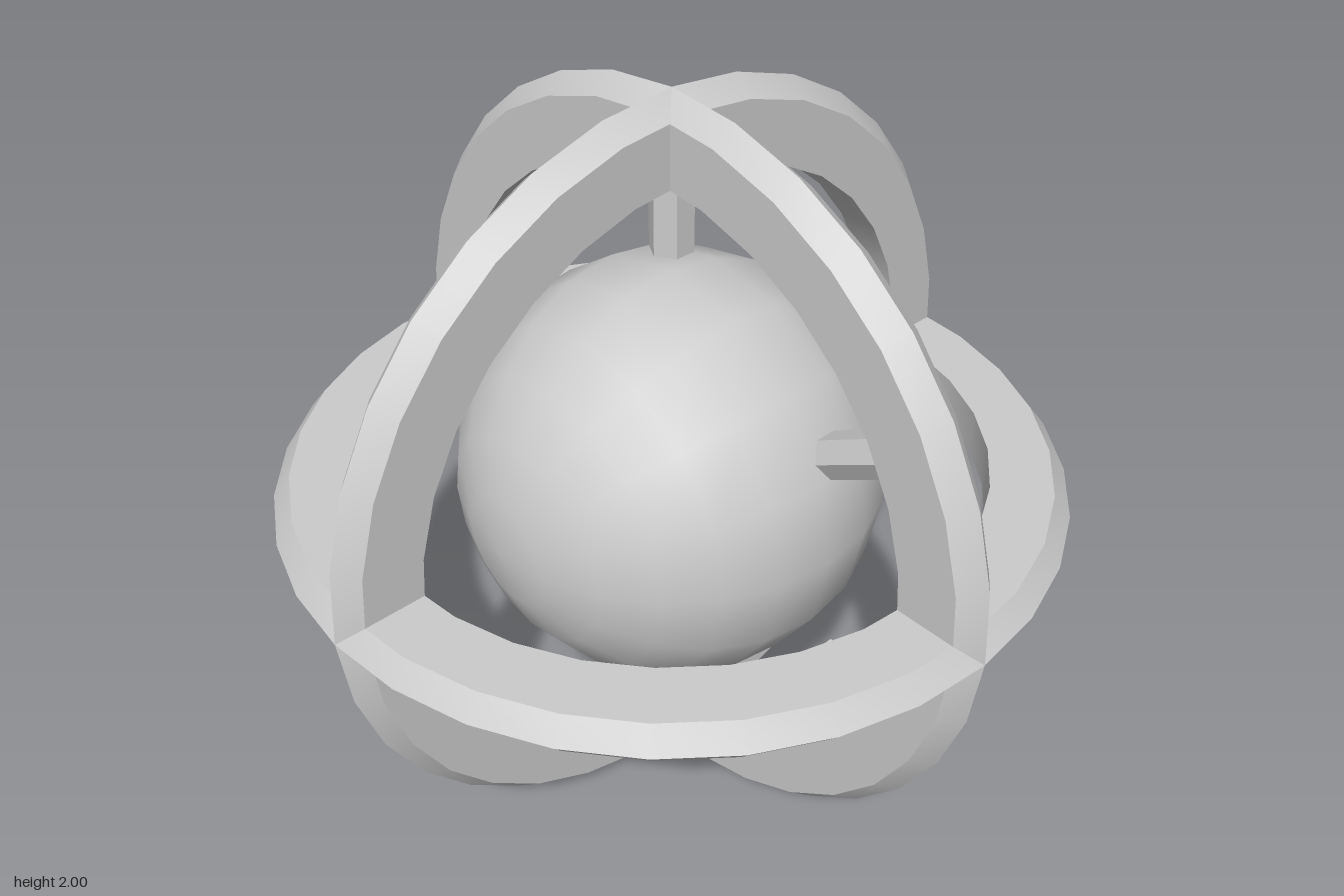
import * as THREE from 'three';
import { toCreasedNormals } from 'three/addons/utils/BufferGeometryUtils.js';

export function createModel() {
  const model = new THREE.Group();
  model.name = 'ringedSphere';
  const grey = new THREE.MeshStandardMaterial({ color: 0xcccccc });
  grey.name = 'light grey';

  const add = (name, geometry) => {
    const mesh = new THREE.Mesh(geometry, grey);
    mesh.name = name;
    mesh.position.y = 1;
    model.add(mesh);
    return mesh;
  };

  // Core ball, poles along z
  add('core', new THREE.SphereGeometry(0.55, 16, 12)).rotation.x = Math.PI / 2;

  // Three crossing rings: flat sides with a ridge around the outside
  const profile = [
    [0.8, -0.056], [0.955, -0.056], [1, 0], [0.955, 0.056], [0.8, 0.056], [0.8, -0.056],
  ].map(([r, h]) => new THREE.Vector2(r, h));
  const ring = toCreasedNormals(new THREE.LatheGeometry(profile, 32), 0.5);
  add('horizontalRing', ring);
  add('frontRing', ring).rotation.x = Math.PI / 2;
  add('sideRing', ring).rotation.z = Math.PI / 2;

  // Six hexagonal pegs pointing inward from the front ring
  const inner = 0.61, outer = 0.84;
  const peg = toCreasedNormals(new THREE.CylinderGeometry(0.055, 0.055, outer - inner, 6), 0.5);
  peg.translate(0, (inner + outer) / 2, 0);
  for (let i = 0; i < 6; i++) add('peg' + (i + 1), peg).rotation.z = (i * Math.PI) / 3;

  return model;
}
